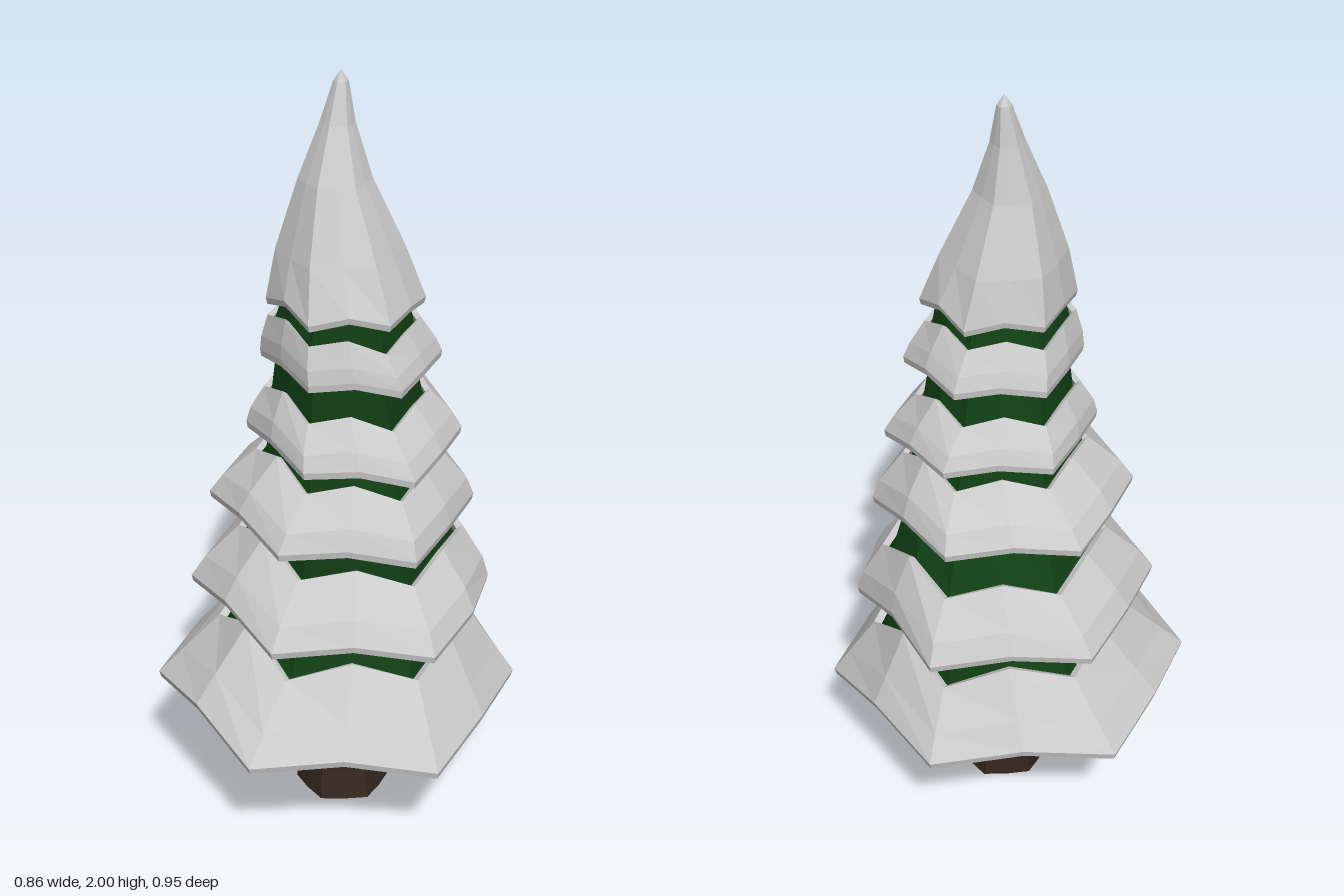
import * as THREE from 'three';

const SIDES = 12; // six drooping corners (odd) with a raised point between each pair (even)

const mat = (color) => new THREE.MeshStandardMaterial({ color, flatShading: true, side: THREE.DoubleSide });

// Skin a list of equal-length rings of points, each ring closed on itself
function loft(rings, material, name) {
  const n = rings[0].length;
  const pos = rings.flat().flatMap((p) => [p.x, p.y, p.z]);
  const index = [];
  for (let i = 0; i < rings.length - 1; i++) {
    for (let j = 0; j < n; j++) {
      const k = (j + 1) % n;
      const a = i * n + j, b = a + n, c = (i + 1) * n + k, d = i * n + k;
      index.push(a, b, c, a, c, d);
    }
  }
  const geo = new THREE.BufferGeometry();
  geo.setAttribute('position', new THREE.Float32BufferAttribute(pos, 3));
  geo.setIndex(index);
  const flat = geo.toNonIndexed();
  flat.computeVertexNormals();
  const mesh = new THREE.Mesh(flat, material);
  mesh.name = name;
  return mesh;
}

// Hexagonal ring: edge midpoints rise by an uneven lift, side corners by a fixed
// amount, and the ring can tilt to the back or be dented on its left side
function hexRing({ r, y, x = 0, z = 0, tilt = 0, lift = 0, side = 0, dent = 0 }) {
  return Array.from({ length: SIDES }, (_, i) => {
    const a = (i / SIDES) * Math.PI * 2;
    const corner = i % 2 === 1;
    const d = r * (corner ? 1 : 0.9) * (i < 2 ? 1 - dent : 1);
    const dx = Math.cos(a) * d, dz = Math.sin(a) * d;
    const rise = corner ? side * Math.abs(Math.cos(a)) : lift * (1 + 0.45 * Math.cos(2 * a + 0.6));
    return new THREE.Vector3(x + dx, y + rise - tilt * dz, z + dz);
  });
}

// Scale a ring about its own centre and move it vertically
function inset(ring, scale, dy = 0) {
  const c = ring.reduce((s, p) => s.add(p), new THREE.Vector3()).divideScalar(ring.length);
  return ring.map((p) => new THREE.Vector3(c.x + (p.x - c.x) * scale, p.y + dy, c.z + (p.z - c.z) * scale));
}

const mix = (a, b, t, bulge) => inset(a.map((p, i) => p.clone().lerp(b[i], t)), bulge);

// Each tier: lower and upper rim of the snow, listed from the ground up
const TIERS = [
  { low: { r: 0.475, y: 0.325, tilt: 0.05, lift: 0.05, side: 0.02 },
    up: { r: 0.335, y: 0.51, x: 0.03, tilt: 0.05, lift: 0.055 }, bulge: 1 },
  { low: { r: 0.405, y: 0.62, x: 0.03, tilt: 0.05, lift: 0.04, side: 0.015, dent: 0.08 },
    up: { r: 0.29, y: 0.76, x: 0.045, tilt: 0.06, lift: 0.05, side: 0.02 }, bulge: 1.03 },
  { low: { r: 0.335, y: 0.885, z: 0.025, tilt: 0.07, lift: 0.035, side: 0.02 },
    up: { r: 0.235, y: 1.01, x: 0.01, z: 0.045, tilt: 0.08, lift: 0.045, side: 0.02 }, bulge: 1.04 },
  { low: { r: 0.268, y: 1.085, x: 0.02, z: 0.05, tilt: 0.1, lift: 0.03, side: 0.02 },
    up: { r: 0.205, y: 1.185, x: 0.005, z: 0.04, tilt: 0.08, lift: 0.04, side: 0.02 }, bulge: 1.03 },
  { low: { r: 0.222, y: 1.295, x: 0.01, z: 0.05, tilt: 0.05, lift: 0.025, side: 0.015 },
    up: { r: 0.185, y: 1.385, x: -0.01, z: 0.05, tilt: 0.07, lift: 0.035, side: 0.02 }, bulge: 1.02 },
];

// Snow cap at the tip, leaning slightly as it rises
const CAP = [
  { r: 0.192, y: 1.455, x: -0.012, z: 0.06, tilt: 0.02, lift: 0.022 },
  { r: 0.155, y: 1.58, x: -0.018, z: 0.045 },
  { r: 0.088, y: 1.75, x: -0.025, z: 0.032 },
  { r: 0.042, y: 1.88, x: -0.012, z: 0.022 },
  { r: 0.018, y: 1.975, z: 0.018 },
  { r: 0.0005, y: 2, z: 0.018 },
];

// Trunk with a flared foot, closed at the bottom
const TRUNK = [
  { r: 0.001, y: 0, x: 0.012, z: 0.01 },
  { r: 0.125, y: 0, x: 0.012, z: 0.01 },
  { r: 0.112, y: 0.08, x: 0.014 },
  { r: 0.1, y: 0.2, x: 0.014 },
  { r: 0.095, y: 0.62, x: 0.014 },
];

export function createModel() {
  const tree = new THREE.Group();
  tree.name = 'snowyTree';
  const snow = mat(0xcccccc);
  const needles = mat(0x113f14);
  const bark = mat(0x35271f);

  tree.add(loft(TRUNK.map(hexRing), bark, 'trunk'));

  TIERS.forEach((t, i) => {
    const low = hexRing(t.low);
    const up = hexRing(t.up);
    const tier = new THREE.Group();
    tier.name = `tier${i + 1}`;

    // Snow band: a thick sloping shell with a lip
    const inLow = inset(low, 0.945, -0.012);
    const inUp = inset(up, 0.94, -0.008);
    const outLow = inset(low, 0.99, -0.018);
    const bands = [inUp, inLow, outLow, low, mix(low, up, 0.38, t.bulge), up, inUp];
    tier.add(loft(bands, snow, 'snowBand'));

    // Branches: a hollow skirt lining the snow, narrowing under the next tier
    const next = TIERS[i + 1];
    const top = next
      ? { r: next.up.r * 0.86, y: next.low.y + 0.07, x: next.up.x, z: next.up.z }
      : { r: 0.14, y: 1.5, x: CAP[0].x, z: CAP[0].z };
    const skirt = [
      inset(low, 0.93, -0.018), inset(up, 0.91, -0.014), hexRing(top),
      hexRing({ ...top, r: 0.001, y: top.y + 0.02 }),
    ];
    tier.add(loft(skirt, needles, 'branches'));
    tree.add(tier);
  });

  // Snow cap and the branches beneath it
  const cap = CAP.map(hexRing);
  const capLip = inset(cap[0], 0.98, -0.016);
  const capInner = inset(cap[0], 0.9, -0.012);
  tree.add(loft([inset(cap[1], 0.9), capInner, capLip, ...cap], snow, 'snowCap'));
  const tip = hexRing({ ...CAP[2], r: 0.001, y: 1.74 });
  tree.add(loft([inset(cap[0], 0.88, -0.014), inset(cap[1], 0.86), tip], needles, 'topBranches'));

  return tree;
}
